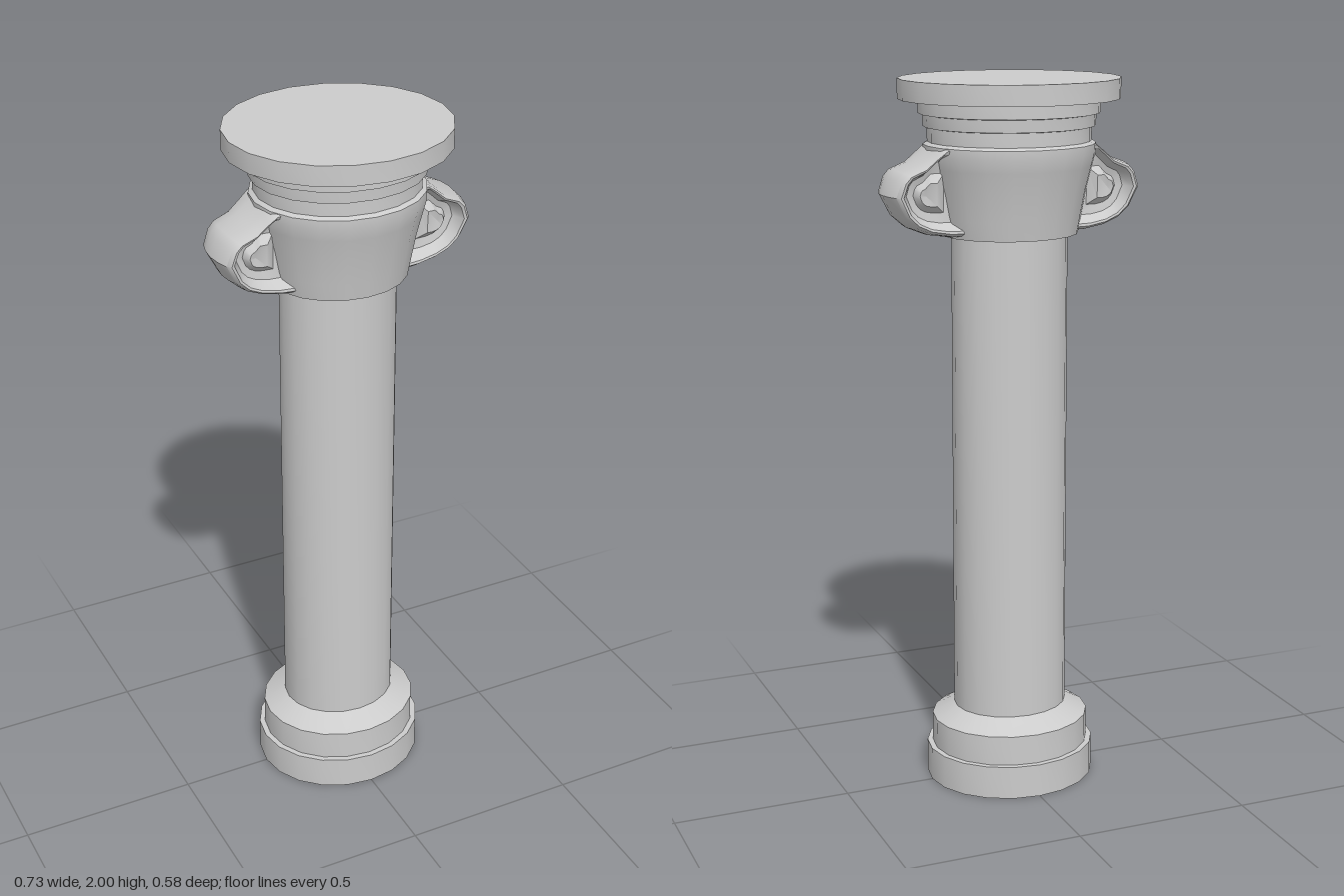
import * as THREE from 'three';
import { toCreasedNormals } from 'three/addons/utils/BufferGeometryUtils.js';

const material = new THREE.MeshStandardMaterial({ color: 0xcccccc, side: THREE.DoubleSide });
const SIDES = 20;
const STRETCH = 0.017; // the column is this much wider in x than in z

// Turned part with a slightly oval plan
function turned(name, profile) {
  const geo = new THREE.LatheGeometry(profile.map(([r, y]) => new THREE.Vector2(r, y)), SIDES);
  const p = geo.attributes.position;
  for (let i = 0; i < p.count; i++) {
    const r = Math.hypot(p.getX(i), p.getZ(i));
    if (r > 1e-4) p.setX(i, p.getX(i) * (r + STRETCH) / r);
  }
  const mesh = new THREE.Mesh(toCreasedNormals(geo, 0.6), material);
  mesh.name = name;
  return mesh;
}

// Side scroll: an outline shrunk towards its eye while stepping across z
function scrollGeometry() {
  const outline = [
    [0.08, 1.58], [0.18, 1.58], [0.25, 1.59], [0.3, 1.61], [0.335, 1.64], [0.367, 1.7],
    [0.35, 1.745], [0.33, 1.765], [0.275, 1.785], [0.235, 1.815], [0.2, 1.84], [0.08, 1.84],
  ];
  const eye = [0.265, 1.7];
  // [depth, scale]: eye knob, sunken channel, raised rim, outer band
  const half = [
    [0.062, 0.001], [0.066, 0.17], [0.045, 0.3], [0.05, 0.5],
    [0.086, 0.68], [0.088, 0.76], [0.077, 0.86], [0.04, 0.96],
  ];
  const rings = [...half, [0, 1], ...half.map(([z, s]) => [-z, s]).reverse()];
  const n = outline.length;
  const pos = [];
  const index = [];
  rings.forEach(([z, s], i) => {
    outline.forEach(([ox, oy], j) => {
      const x = eye[0] + (ox - eye[0]) * s;
      const sy = s + (1 - s) * s * 0.5; // keeps the band tall at its edges
      const y = eye[1] + (oy - eye[1]) * sy;
      // wider at the top and towards the bell
      const flare = 1 + (y - 1.73) * 0.8 + Math.max(0, 0.24 - x) * 1.5;
      pos.push(x, y, z * flare);
      if (i + 1 < rings.length) {
        const k = (j + 1) % n;
        const a = i * n + j, b = i * n + k, c = a + n, d = b + n;
        index.push(a, c, b, b, c, d);
      }
    });
  });
  const geo = new THREE.BufferGeometry();
  geo.setAttribute('position', new THREE.Float32BufferAttribute(pos, 3));
  geo.setIndex(index);
  return toCreasedNormals(geo, 0.7);
}

export function createModel() {
  const group = new THREE.Group();
  group.name = 'column';

  // Open-bottomed stepped foot with a sloping shoulder
  group.add(turned('base', [
    [0.225, 0], [0.225, 0.095], [0.209, 0.095], [0.209, 0.18], [0.19, 0.19], [0.146, 0.215],
  ]));

  group.add(turned('shaft', [[0.146, 0.215], [0.145, 1.58]]));

  // Flaring bell
  group.add(turned('capitalBell', [
    [0.145, 1.58], [0.174, 1.58], [0.183, 1.63], [0.196, 1.7], [0.212, 1.765],
    [0.221, 1.8], [0.221, 1.825], [0.209, 1.832], [0.209, 1.87],
  ]));

  // Stepped neck mouldings
  group.add(turned('neckMoulding', [
    [0.209, 1.87], [0.22, 1.872], [0.222, 1.905], [0.233, 1.907], [0.233, 1.945],
  ]));

  // Flat top slab
  group.add(turned('topSlab', [[0.233, 1.945], [0.288, 1.945], [0.288, 2], [0, 2]]));

  // Scrolls on both sides
  const scroll = scrollGeometry();
  for (const [name, angle] of [['leftScroll', 0], ['rightScroll', Math.PI]]) {
    const mesh = new THREE.Mesh(scroll, material);
    mesh.name = name;
    mesh.rotation.y = angle;
    group.add(mesh);
  }
  return group;
}
